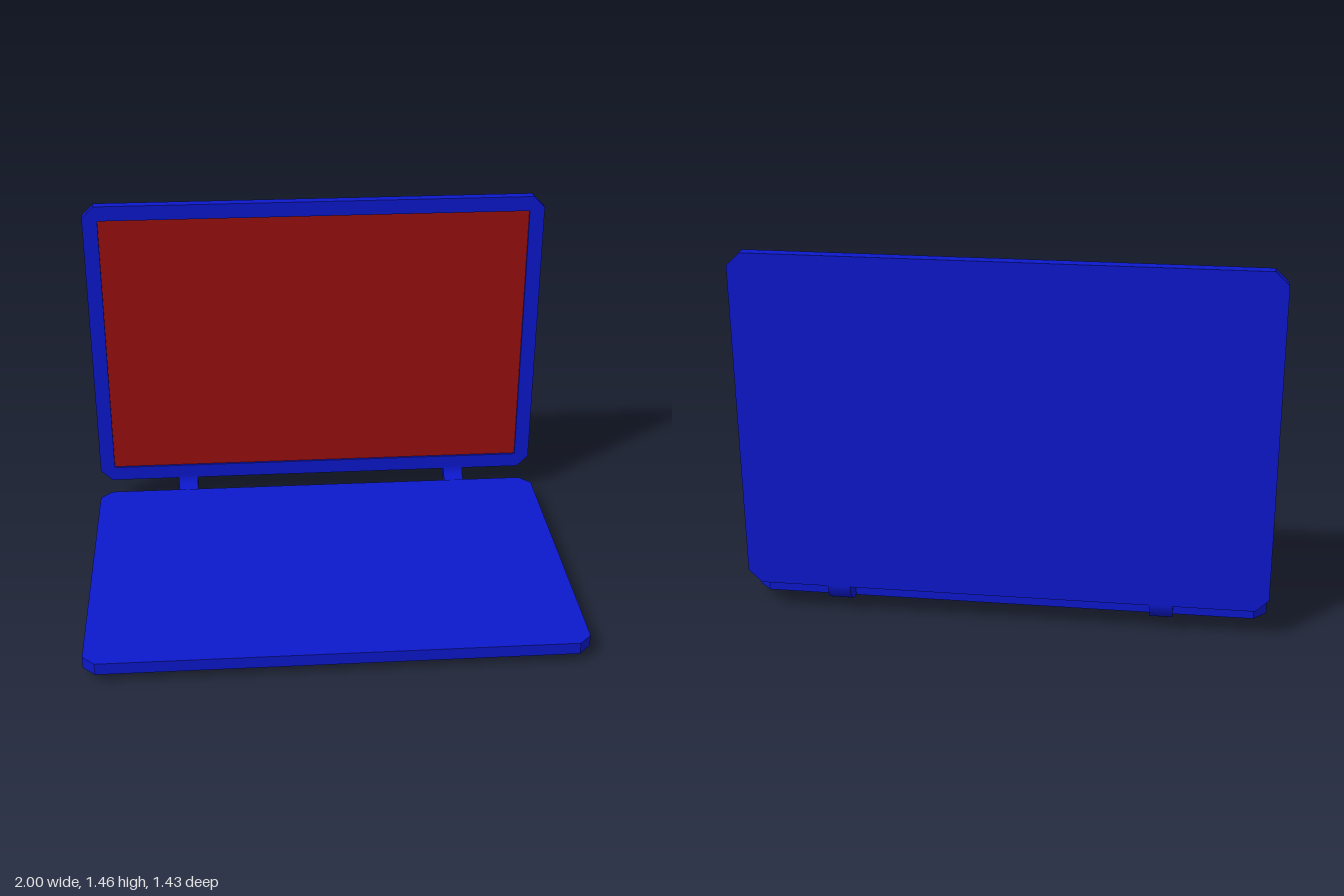
import * as THREE from 'three';
import { toCreasedNormals } from 'three/addons/utils/BufferGeometryUtils.js';

const blue = new THREE.MeshStandardMaterial({ color: 0x0c18cc });
const red = new THREE.MeshStandardMaterial({ color: 0x990e0e });

// Rectangle with cut corners, as eight [a, b] points, counter-clockwise
function cutRect(a0, a1, b0, b1, c) {
  return [[a0 + c, b0], [a1 - c, b0], [a1, b0 + c], [a1, b1 - c],
    [a1 - c, b1], [a0 + c, b1], [a0, b1 - c], [a0, b0 + c]];
}

function addMesh(parent, name, geometry, material) {
  const mesh = new THREE.Mesh(geometry, material);
  mesh.name = name;
  parent.add(mesh);
  return mesh;
}

// Tray-shaped base: flat top, short wall, wide bevel down to a smaller bottom
function baseGeometry() {
  const outline = cutRect(-1, 1, -0.62, 0.715, 0.05);
  const foot = cutRect(-0.83, 0.83, -0.5, 0.6, 0.05);
  const rings = [[foot, 0], [outline, 0.04], [outline, 0.09]];
  const pos = [], idx = [], n = 8;
  for (const [ring, y] of rings) for (const [x, z] of ring) pos.push(x, y, z);
  for (let r = 0; r < 2; r++) {
    for (let i = 0; i < n; i++) {
      const a = r * n + i, b = r * n + (i + 1) % n;
      idx.push(a, a + n, b, b, a + n, b + n);
    }
  }
  for (let i = 1; i < n - 1; i++) {
    idx.push(0, i, i + 1, 2 * n, 2 * n + i + 1, 2 * n + i);
  }
  const g = new THREE.BufferGeometry();
  g.setAttribute('position', new THREE.Float32BufferAttribute(pos, 3));
  g.setIndex(idx);
  const flat = g.toNonIndexed();
  flat.computeVertexNormals();

  // Blend the bevel softly from the wall into the bottom
  const p = flat.attributes.position, nor = flat.attributes.normal;
  const v = new THREE.Vector3();
  for (let i = 0; i < p.count; i++) {
    v.fromBufferAttribute(nor, i);
    if (v.y > -0.2 || v.y < -0.999) continue;
    if (p.getY(i) < 0.01) v.set(0, -1, 0);
    else v.setY(0).normalize().setY(-0.8).normalize();
    nor.setXYZ(i, v.x, v.y, v.z);
  }
  return flat;
}

// Lid: frame with a window, closed behind, with the screen slightly recessed
function createLid() {
  const lid = new THREE.Group();
  lid.name = 'lid';
  const toVec = ([x, y]) => new THREE.Vector2(x, y);
  const shape = new THREE.Shape(cutRect(-1, 1, 0.125, 1.455, 0.05).map(toVec));
  shape.holes.push(new THREE.Path(
    [[-0.935, 0.19], [-0.935, 1.39], [0.935, 1.39], [0.935, 0.19]].map(toVec)));
  const frame = new THREE.ExtrudeGeometry(shape, { depth: 0.045, bevelEnabled: false });
  addMesh(lid, 'lidFrame', frame, blue).position.z = -0.715;

  const back = new THREE.BoxGeometry(1.87, 1.2, 0.025);
  addMesh(lid, 'lidBack', back, blue).position.set(0, 0.79, -0.7025);
  const screen = new THREE.BoxGeometry(1.87, 1.2, 0.01);
  addMesh(lid, 'screen', screen, red).position.set(0, 0.79, -0.685);
  return lid;
}

// Curved hinge strap, a quarter ring in the z-y plane extruded along x
function hingeGeometry(width) {
  const cz = -0.62, cy = 0.135;
  const shape = new THREE.Shape();
  shape.absarc(cz, cy, 0.095, Math.PI, Math.PI * 1.5, false);
  shape.absarc(cz, cy, 0.05, Math.PI * 1.5, Math.PI, true);
  shape.closePath();
  const g = new THREE.ExtrudeGeometry(shape,
    { depth: width, bevelEnabled: false, curveSegments: 10 });
  g.translate(0, 0, -width / 2);
  g.rotateY(-Math.PI / 2);
  return toCreasedNormals(g, 0.6);
}

export function createModel() {
  const model = new THREE.Group();
  model.name = 'laptop';
  addMesh(model, 'base', baseGeometry(), blue);
  model.add(createLid());
  const hinge = hingeGeometry(0.088);
  addMesh(model, 'leftHinge', hinge, blue).position.x = 0.645;
  addMesh(model, 'rightHinge', hinge, blue).position.x = -0.598;
  return model;
}
